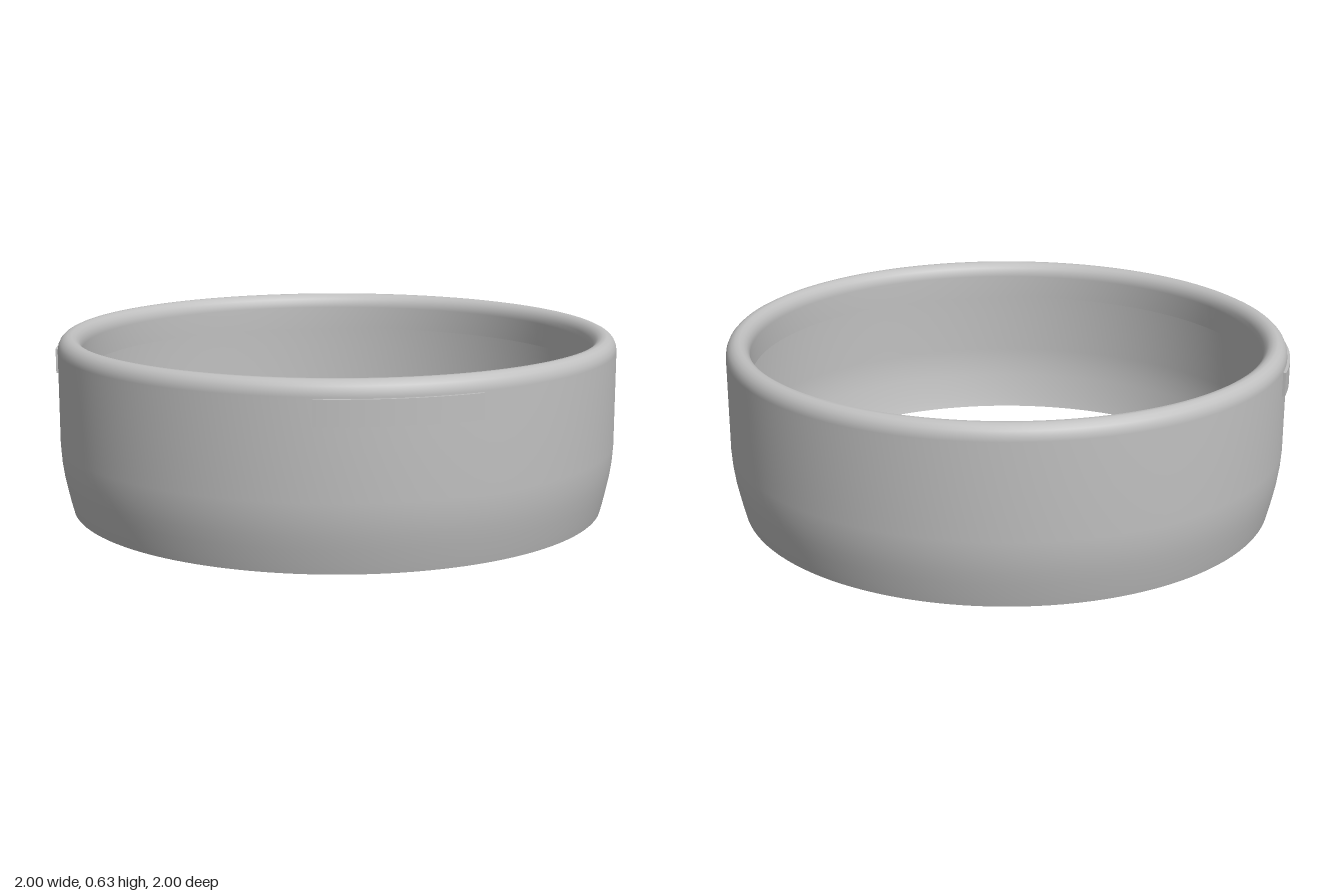
import * as THREE from 'three';

const SEGMENTS = 128;

export function createModel() {
  const group = new THREE.Group();
  group.name = 'ring';
  const grey = new THREE.MeshStandardMaterial({ color: 0xc0c0c0 });
  grey.name = 'light grey';

  const add = (name, geometry) => {
    const mesh = new THREE.Mesh(geometry, grey);
    mesh.name = name;
    group.add(mesh);
    return mesh;
  };
  // Each surface of revolution is its own strip, so edges between strips stay sharp
  const turn = (name, profile) =>
    add(name, new THREE.LatheGeometry(profile.map(([r, y]) => new THREE.Vector2(r, y)), SEGMENTS));

  // Outer wall, tapering in at the foot, with the lip rolled over to the inside
  turn('outerWallAndLip', [
    [0.96, 0], [0.969, 0.035], [0.98, 0.085], [0.989, 0.13], [0.996, 0.18], [1, 0.24],
    [1, 0.4], [1, 0.575], [0.997, 0.593], [0.99, 0.608], [0.979, 0.619], [0.965, 0.626],
    [0.95, 0.626], [0.936, 0.619], [0.925, 0.608], [0.918, 0.593], [0.915, 0.575], [0.916, 0.487],
  ]);
  turn('lipEdge', [[0.916, 0.487], [0.928, 0.487]]);

  // Hollow underside of the lip and the inside of the wall
  turn('innerWall', [
    [0.928, 0.487], [0.928, 0.575], [0.934, 0.597], [0.948, 0.612], [0.967, 0.612],
    [0.981, 0.597], [0.987, 0.575], [0.987, 0.4], [0.987, 0.24], [0.983, 0.18],
    [0.975, 0.13], [0.966, 0.085], [0.955, 0.035], [0.945, 0],
  ]);
  turn('bottomEdge', [[0.945, 0], [0.96, 0]]);

  // Two thin curved tabs on the outside, mirrored left and right
  const addTab = (name, from, to) => {
    const a = THREE.MathUtils.degToRad(from);
    const b = THREE.MathUtils.degToRad(to);
    const shape = new THREE.Shape();
    shape.absarc(0, 0, 1.01, a, b, false);
    shape.absarc(0, 0, 0.993, b, a, true);
    const geometry = new THREE.ExtrudeGeometry(shape, { depth: 0.086, bevelEnabled: false, curveSegments: 24 });
    geometry.rotateX(Math.PI / 2).translate(0, 0.57, 0);
    add(name, geometry);
  };
  addTab('leftTab', 18.4, 49.8);
  addTab('rightTab', 130.2, 161.6);

  return group;
}
